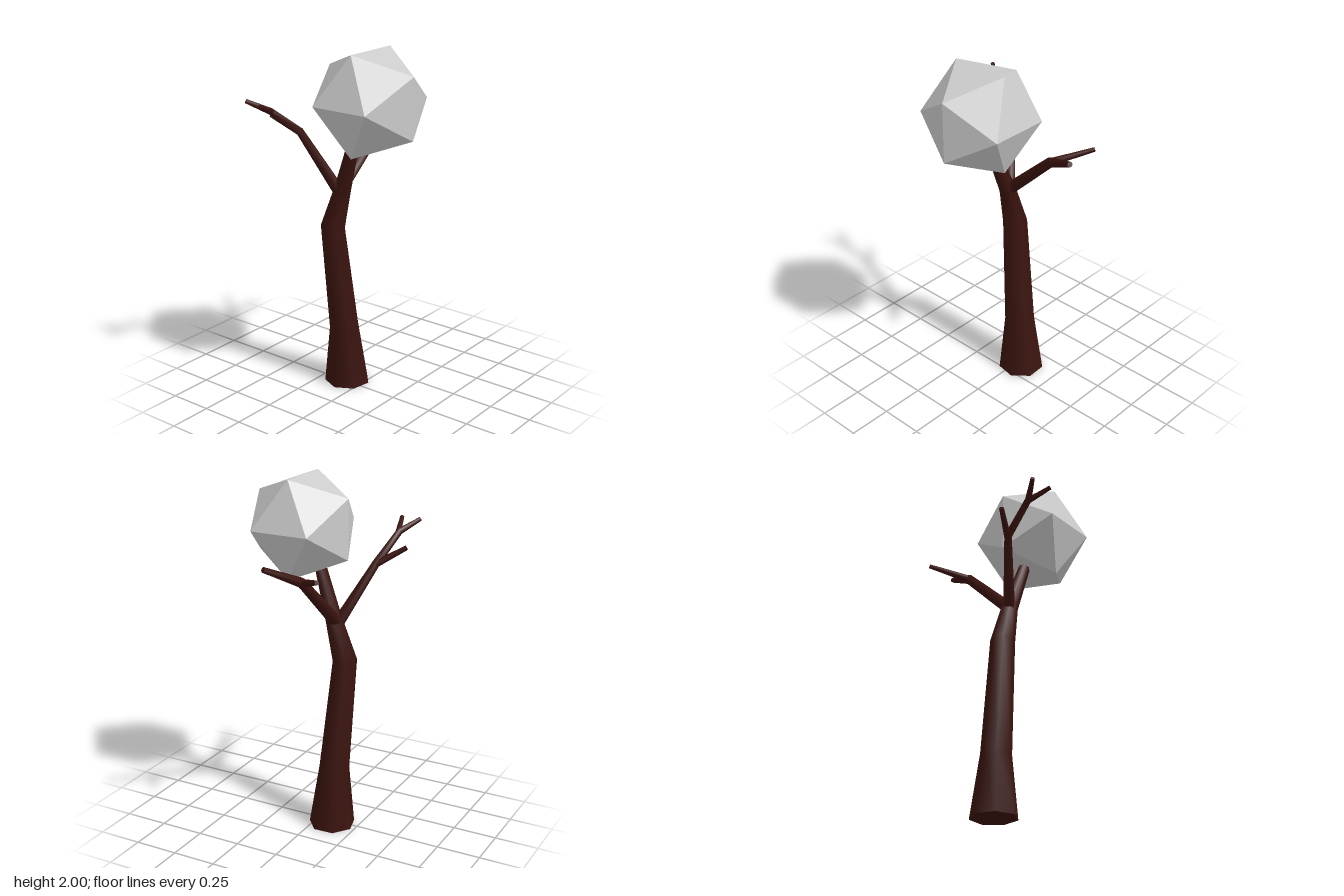
import * as THREE from 'three';

const SIDES = 7;
const START_ANGLE = 1.75;

// Tapered limb through points [x, y, z, radius]; smooth sides, flat end caps.
function limb(name, points, material, firstTangent) {
  const centres = points.map((p) => new THREE.Vector3(p[0], p[1], p[2]));
  const last = points.length - 1;
  const rings = centres.map((c, i) => {
    const into = c.clone().sub(centres[Math.max(i - 1, 0)]).normalize();
    const out = centres[Math.min(i + 1, last)].clone().sub(c).normalize();
    const t = i === 0 && firstTangent ? firstTangent : into.add(out).normalize();
    const v = new THREE.Vector3(0, 0, -1).addScaledVector(t, t.z).normalize();
    const u = new THREE.Vector3().crossVectors(v, t).negate();
    if (u.dot(new THREE.Vector3().crossVectors(t, v)) < 0) u.negate();
    u.negate(); // u, v, t form a right-handed frame
    return Array.from({ length: SIDES }, (_, k) => {
      const a = START_ANGLE + (k / SIDES) * Math.PI * 2;
      return c.clone()
        .addScaledVector(u, -Math.cos(a) * points[i][3])
        .addScaledVector(v, Math.sin(a) * points[i][3]);
    });
  });

  const position = [];
  const index = [];
  const add = (p) => position.push(p.x, p.y, p.z) / 3 - 1;
  // Reverse the winding if the ring runs clockwise about the limb's direction
  const axis = centres[1].clone().sub(centres[0]);
  const e0 = rings[0][0].clone().sub(centres[0]);
  const e1 = rings[0][1].clone().sub(centres[0]);
  const flip = e0.cross(e1).dot(axis) < 0;
  const tri = (a, b, c) => (flip ? index.push(a, c, b) : index.push(a, b, c));

  rings.forEach((ring) => ring.forEach(add));
  for (let i = 0; i < last; i++) {
    for (let k = 0; k < SIDES; k++) {
      const n = (k + 1) % SIDES;
      const a = i * SIDES + k, b = i * SIDES + n;
      tri(a, b, b + SIDES);
      tri(a, b + SIDES, a + SIDES);
    }
  }
  // Caps use their own vertices so that the rims stay sharp
  for (const end of [0, last]) {
    const centre = add(centres[end]);
    const first = position.length / 3;
    rings[end].forEach(add);
    for (let k = 0; k < SIDES; k++) {
      const a = first + k, b = first + ((k + 1) % SIDES);
      if (end === 0) tri(centre, b, a);
      else tri(centre, a, b);
    }
  }
  const geometry = new THREE.BufferGeometry();
  geometry.setAttribute('position', new THREE.Float32BufferAttribute(position, 3));
  geometry.setIndex(index);
  geometry.computeVertexNormals();
  const mesh = new THREE.Mesh(geometry, material);
  mesh.name = name;
  return mesh;
}

export function createModel() {
  const model = new THREE.Group();
  model.name = 'tree';
  const bark = new THREE.MeshStandardMaterial({ color: 0x3a130e });
  const leaf = new THREE.MeshStandardMaterial({ color: 0xcccccc, flatShading: true });

  // Trunk, bending back and then forward into the foliage
  model.add(limb('trunk', [
    [0.025, 0, -0.1, 0.132],
    [0.007, 0.35, -0.105, 0.087],
    [-0.058, 0.98, -0.133, 0.07],
    [-0.053, 1.21, -0.066, 0.048],
    [-0.08, 1.48, 0.028, 0.034],
    [-0.085, 1.56, 0.05, 0.03],
  ], bark, new THREE.Vector3(0, 1, 0)));

  // Left branch with one fork
  const leftBranch = new THREE.Group();
  leftBranch.name = 'leftBranch';
  leftBranch.add(
    limb('leftBough', [
      [-0.055, 1.2, -0.08, 0.036],
      [0.27, 1.505, -0.045, 0.028],
      [0.485, 1.615, 0.06, 0.015],
    ], bark),
    limb('leftTwig', [[0.26, 1.5, -0.045, 0.022], [0.425, 1.57, -0.217, 0.012]], bark),
  );

  // Right branch, forking twice
  const rightBranch = new THREE.Group();
  rightBranch.name = 'rightBranch';
  rightBranch.add(
    limb('rightBough', [
      [-0.06, 1.18, -0.08, 0.034],
      [-0.19, 1.53, -0.255, 0.022],
      [-0.37, 1.67, -0.305, 0.019],
      [-0.465, 1.73, -0.388, 0.012],
    ], bark),
    limb('rightLowerTwig', [[-0.185, 1.52, -0.25, 0.02], [-0.26, 1.615, -0.4, 0.014]], bark),
    limb('rightUpperTwig', [[-0.36, 1.665, -0.303, 0.017], [-0.492, 1.722, -0.265, 0.012]], bark),
  );
  model.add(leftBranch, rightBranch);

  // Foliage ball
  const foliage = new THREE.Mesh(new THREE.IcosahedronGeometry(0.323, 0), leaf);
  foliage.name = 'foliage';
  foliage.position.set(-0.064, 1.725, 0.131);
  model.add(foliage);

  return model;
}
